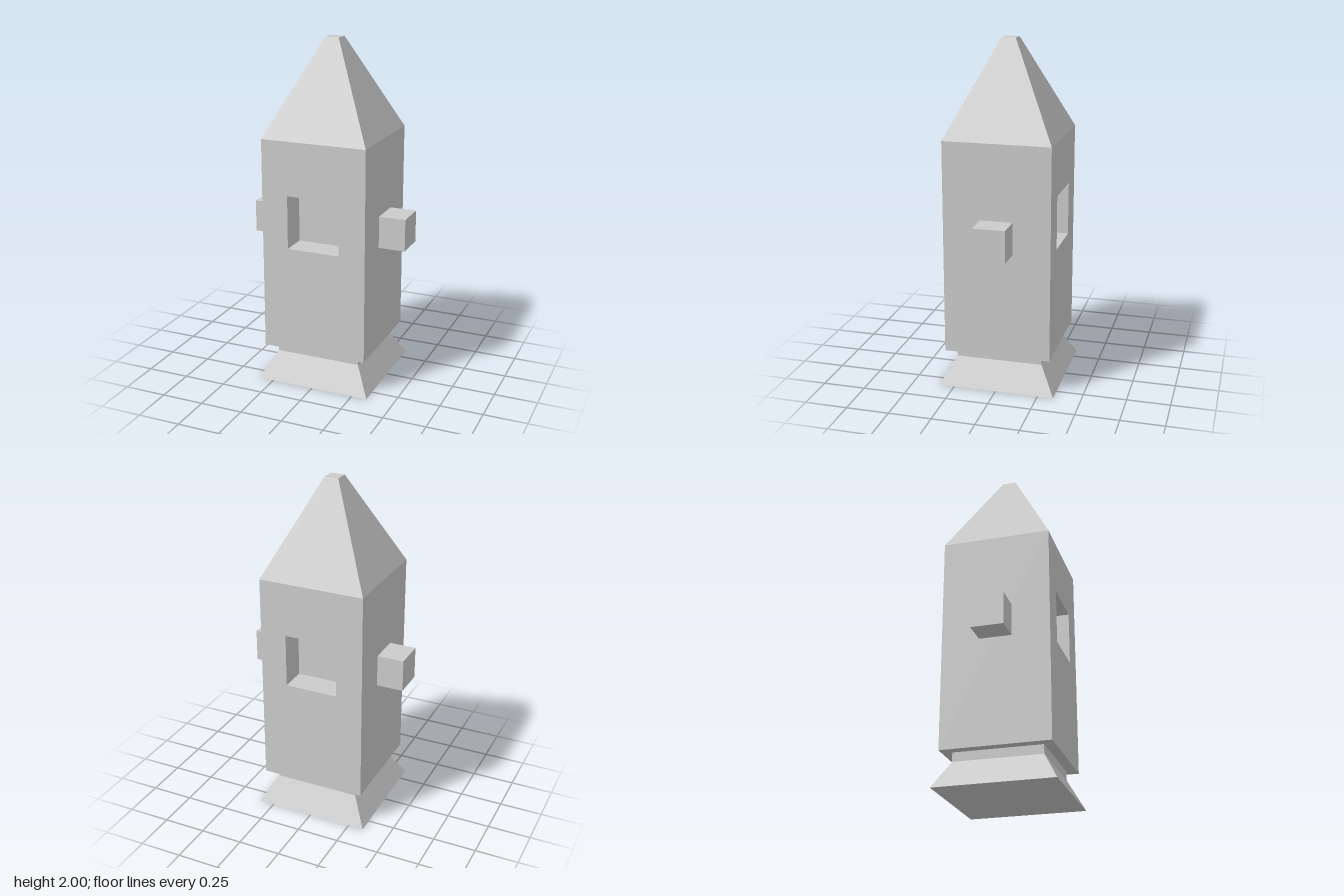
import * as THREE from 'three';

const material = new THREE.MeshStandardMaterial({ color: 0xcccccc, flatShading: true });

export function createModel() {
  const group = new THREE.Group();

  function add(name, geometry, x = 0, y = 0, z = 0) {
    const mesh = new THREE.Mesh(geometry, material);
    mesh.name = name;
    mesh.position.set(x, y, z);
    group.add(mesh);
  }

  // Square frustum given by its half widths, from y0 to y1
  function addFrustum(name, top, bottom, y0, y1) {
    const geometry = new THREE.CylinderGeometry(top * Math.SQRT2, bottom * Math.SQRT2, y1 - y0, 4);
    geometry.rotateY(Math.PI / 4);
    add(name, geometry, 0, (y0 + y1) / 2, 0);
  }

  function rectangle(path, halfWidth, y0, y1) {
    path.moveTo(-halfWidth, y0);
    path.lineTo(halfWidth, y0);
    path.lineTo(halfWidth, y1);
    path.lineTo(-halfWidth, y1);
    path.closePath();
    return path;
  }

  const half = 0.311;
  const unit = 0.156;
  const bodyBottom = 0.21, bodyTop = 1.457;
  const windowBottom = 0.832, windowTop = 1.144;

  // Flared foot and short neck
  addFrustum('base', 0.253, 0.341, 0, 0.158);
  add('neck', new THREE.BoxGeometry(0.506, bodyBottom - 0.158, 0.506), 0, (0.158 + bodyBottom) / 2, 0);

  // Body with a window opening running front to back
  const wall = rectangle(new THREE.Shape(), half, bodyBottom, bodyTop);
  wall.holes.push(rectangle(new THREE.Path(), unit, windowBottom, windowTop));
  add('body', new THREE.ExtrudeGeometry(wall, { depth: 2 * half, bevelEnabled: false }), 0, 0, -half);

  // Solid core that closes the opening into front and back recesses
  add('windowCore', new THREE.BoxGeometry(2 * unit, windowTop - windowBottom, 2 * (half - unit)),
    0, (windowBottom + windowTop) / 2, 0);

  // Square pegs on both sides
  for (const side of [1, -1]) {
    add(side > 0 ? 'leftPeg' : 'rightPeg', new THREE.BoxGeometry(unit, 0.187, 0.187),
      side * (half + unit / 2), windowBottom + 0.0935, 0);
  }

  // Tapered roof with a small flat top
  addFrustum('roof', 0.041, half, bodyTop, 2);

  return group;
}
